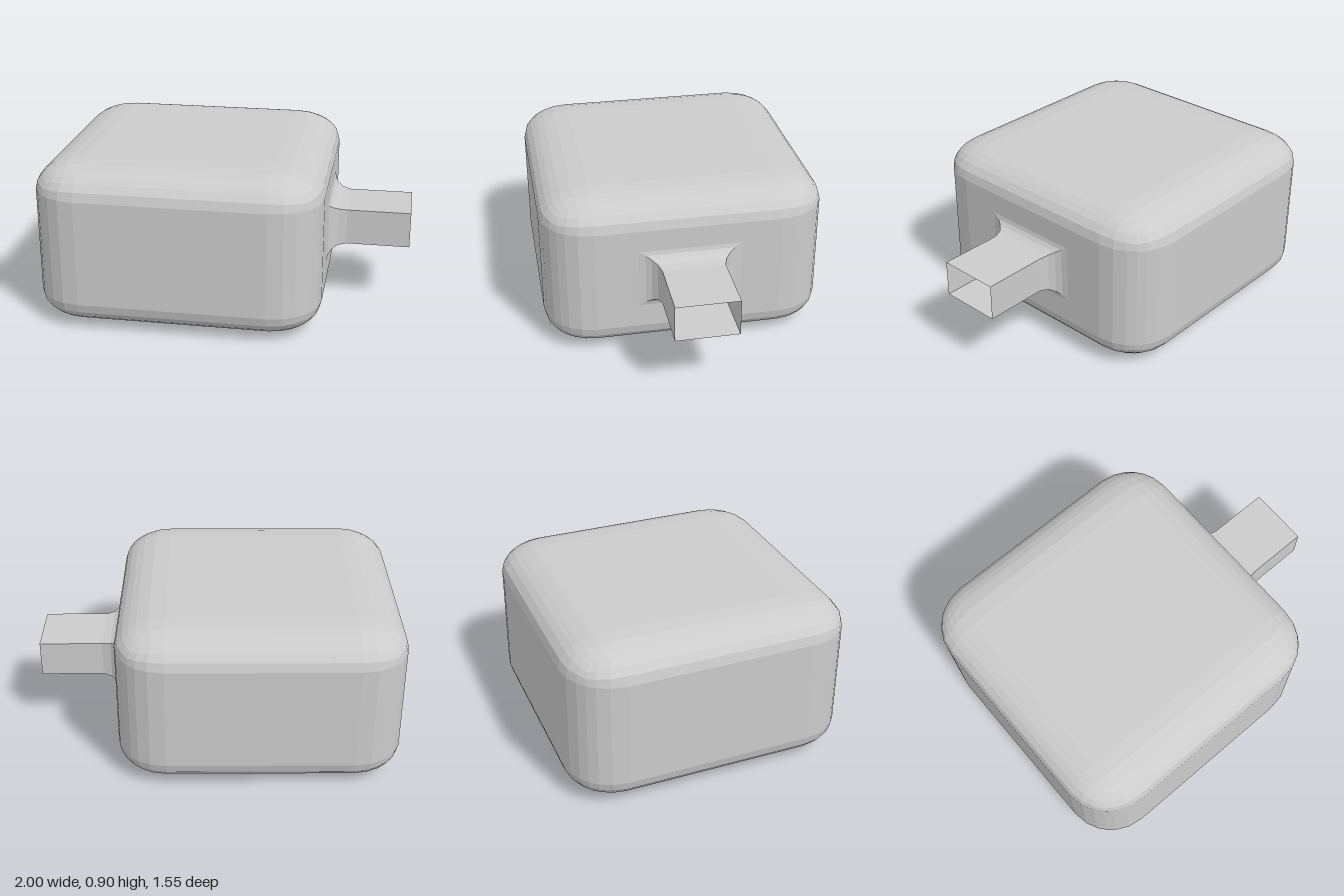
import * as THREE from 'three';
import { RoundedBoxGeometry } from 'three/addons/geometries/RoundedBoxGeometry.js';

const material = new THREE.MeshStandardMaterial({ color: 0xcccccc, flatShading: true, side: THREE.DoubleSide });

// Body and spout dimensions
const W = 1.55, H = 0.9, R = 0.27;
const FACE_X = 0.55, MID_Y = 0.455, MID_Z = -0.003;
const SPOUT = { y: 0.1, z: 0.17 };
const FLARE = { y: 0.066, z: 0.11 };

function addMesh(parent, geometry, name) {
  const mesh = new THREE.Mesh(geometry, material);
  mesh.name = name;
  parent.add(mesh);
}

// Rounded cube squashed in height, with the flat panel on the spout side left out
function bodyGeometry() {
  const box = new RoundedBoxGeometry(W, W, W, 3, R).toNonIndexed();
  const p = box.attributes.position;
  const kept = [];
  for (let i = 0; i < p.count; i += 3) {
    const onPanel = [0, 1, 2].every((k) => p.getX(i + k) > W / 2 - 1e-4);
    if (onPanel) continue;
    for (let k = 0; k < 3; k++) kept.push(p.getX(i + k), p.getY(i + k), p.getZ(i + k));
  }
  const geo = new THREE.BufferGeometry();
  geo.setAttribute('position', new THREE.Float32BufferAttribute(kept, 3));
  geo.scale(1, H / W, 1);
  geo.translate(FACE_X - W / 2, H / 2, 0);
  geo.computeVertexNormals();
  return geo;
}

function rectangle(Type, z0, z1, y0, y1) {
  const path = new Type();
  path.moveTo(z0, y0).lineTo(z1, y0).lineTo(z1, y1).lineTo(z0, y1).closePath();
  return path;
}

// Flat panel with the opening that leads into the spout
function panelGeometry() {
  const a = W / 2 - R, b = a * H / W;
  const shape = rectangle(THREE.Shape, -a, a, H / 2 - b, H / 2 + b);
  const hy = SPOUT.y + FLARE.y, hz = SPOUT.z + FLARE.z;
  // shape x runs along -z after the turn
  shape.holes.push(rectangle(THREE.Path, -MID_Z - hz, -MID_Z + hz, MID_Y - hy, MID_Y + hy));
  const geo = new THREE.ShapeGeometry(shape);
  geo.rotateY(Math.PI / 2);
  geo.translate(FACE_X, 0, 0);
  return geo;
}

// Open rectangular tube: rings of [x, share of the flare]
function spoutGeometry() {
  const rings = [[FACE_X, 1], [0.556, 0.66], [0.572, 0.38], [0.602, 0.13], [0.65, 0], [1, 0]];
  const corners = [[-1, -1], [1, -1], [1, 1], [-1, 1]];
  const positions = [], index = [];
  rings.forEach(([x, f], i) => {
    corners.forEach(([sz, sy], j) => {
      positions.push(x, MID_Y + sy * (SPOUT.y + f * FLARE.y), MID_Z + sz * (SPOUT.z + f * FLARE.z));
      if (i === 0) return;
      const k = (j + 1) % 4, a = (i - 1) * 4, b = i * 4;
      index.push(a + j, a + k, b + k, a + j, b + k, b + j);
    });
  });
  const geo = new THREE.BufferGeometry();
  geo.setAttribute('position', new THREE.Float32BufferAttribute(positions, 3));
  geo.setIndex(index);
  // wind the faces outwards
  for (let i = 0; i < index.length; i += 3) [index[i + 1], index[i + 2]] = [index[i + 2], index[i + 1]];
  geo.setIndex(index);
  const flat = geo.toNonIndexed();
  flat.computeVertexNormals();
  return flat;
}

export function createModel() {
  const model = new THREE.Group();
  model.name = 'roundedTankWithSpout';
  addMesh(model, bodyGeometry(), 'body');
  addMesh(model, panelGeometry(), 'spoutPanel');
  addMesh(model, spoutGeometry(), 'spout');
  return model;
}
